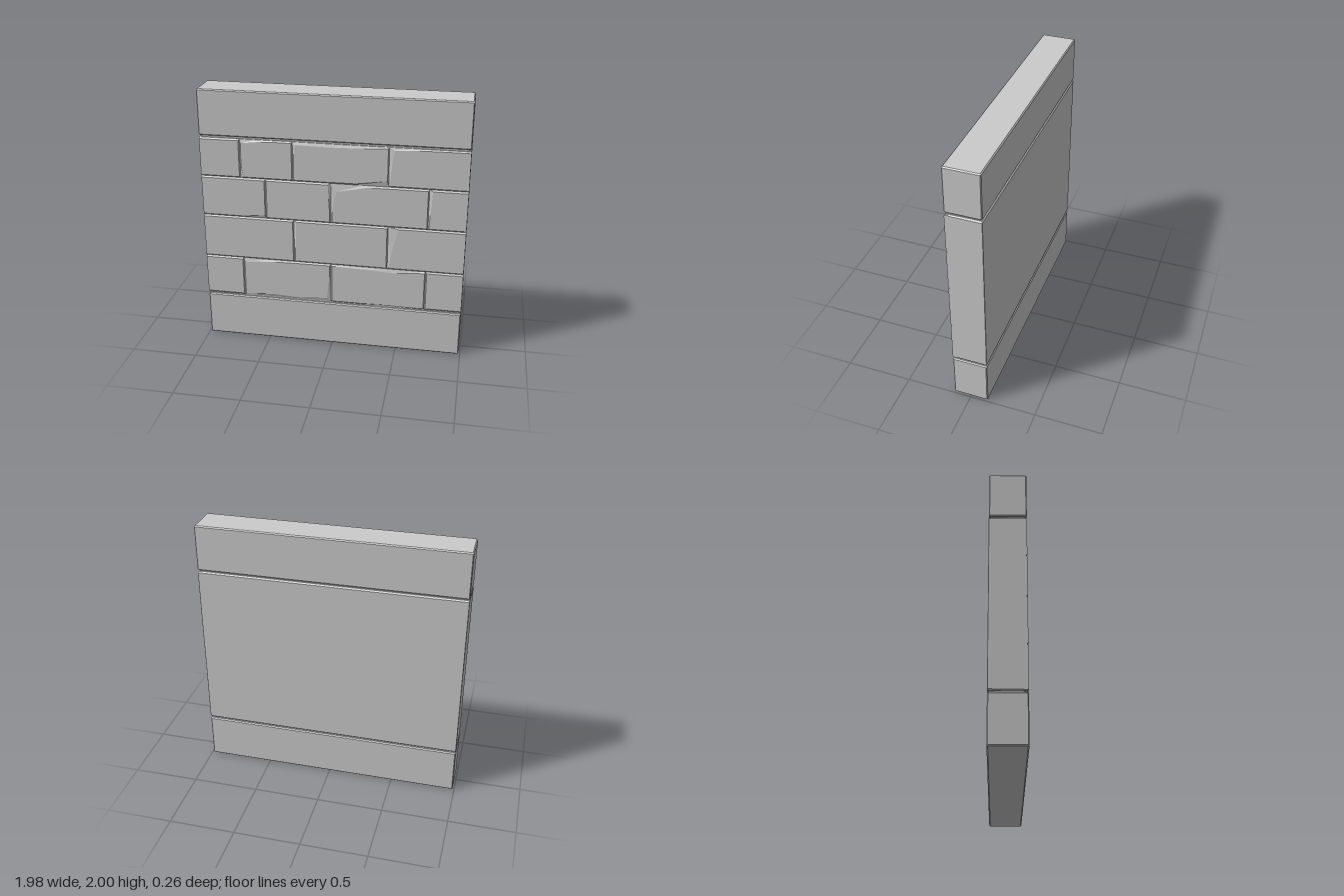
import * as THREE from 'three';

const material = new THREE.MeshStandardMaterial({ color: 0xcccccc, side: THREE.DoubleSide });
const HALF_W = 0.988, HALF_D = 0.13;

// Box with chamfered edges: c on the vertical edges, b around top and bottom.
function chamferBox(name, halfW, y0, y1, z0, z1, c, b) {
  const s = new THREE.Shape([
    [-halfW + c, z0], [halfW - c, z0], [halfW, z0 + c], [halfW, z1 - c],
    [halfW - c, z1], [-halfW + c, z1], [-halfW, z1 - c], [-halfW, z0 + c],
  ].map(([x, z]) => new THREE.Vector2(x, -z)).reverse());
  const g = new THREE.ExtrudeGeometry(s, {
    depth: y1 - y0 - 2 * b, bevelEnabled: true, bevelThickness: b,
    bevelSize: b, bevelOffset: -b, bevelSegments: 1,
  });
  g.rotateX(-Math.PI / 2);
  g.translate(0, y0 + b, 0);
  const mesh = new THREE.Mesh(g, material);
  mesh.name = name;
  return mesh;
}

// Stone with a worn bevel; each edge has four insets (bottom/top run left to right, sides run upward).
function brick(x0, x1, y0, y1, chips = {}) {
  const even = (v) => [v, v, v, v];
  const e = {
    b: even(0.01), t: even(0.012),
    l: even(x0 <= -HALF_W ? 0 : 0.008), r: even(x1 >= HALF_W ? 0 : 0.008), ...chips,
  };
  const mix = THREE.MathUtils.lerp;
  const outer = [], inner = [];
  for (let i = 0; i < 3; i++) { // bottom
    outer.push([mix(x0, x1, i / 3), y0]);
    inner.push([mix(x0 + e.l[0], x1 - e.r[0], i / 3), y0 + e.b[i]]);
  }
  for (let i = 0; i < 3; i++) { // right
    outer.push([x1, mix(y0, y1, i / 3)]);
    inner.push([x1 - e.r[i], mix(y0 + e.b[3], y1 - e.t[3], i / 3)]);
  }
  for (let i = 3; i > 0; i--) { // top
    outer.push([mix(x0, x1, i / 3), y1]);
    inner.push([mix(x0 + e.l[3], x1 - e.r[3], i / 3), y1 - e.t[i]]);
  }
  for (let i = 3; i > 0; i--) { // left
    outer.push([x0, mix(y0, y1, i / 3)]);
    inner.push([x0 + e.l[i], mix(y0 + e.b[0], y1 - e.t[0], i / 3)]);
  }
  const n = outer.length, pos = [], idx = [];
  outer.forEach(([x, y]) => pos.push(x, y, 0.1));
  outer.forEach(([x, y]) => pos.push(x, y, 0.121));
  inner.forEach(([x, y]) => pos.push(x, y, HALF_D));
  pos.push((x0 + x1) / 2, (y0 + y1) / 2, HALF_D);
  for (let i = 0; i < n; i++) {
    const j = (i + 1) % n;
    for (const k of [0, n]) idx.push(k + i, k + j, k + n + j, k + i, k + n + j, k + n + i);
    idx.push(2 * n + i, 2 * n + j, 3 * n);
  }
  let g = new THREE.BufferGeometry();
  g.setAttribute('position', new THREE.Float32BufferAttribute(pos, 3));
  g.setIndex(idx);
  g = g.toNonIndexed();
  g.computeVertexNormals();
  const mesh = new THREE.Mesh(g, material);
  mesh.name = 'brick';
  return mesh;
}

export function createModel() {
  const wall = new THREE.Group();
  wall.name = 'wallSection';

  // Base and cap beams, recessed joint core, and the plain backing panel
  wall.add(chamferBox('baseBeam', HALF_W, 0, 0.35, -HALF_D, HALF_D, 0.006, 0.008));
  wall.add(chamferBox('capBeam', HALF_W, 1.655, 2, -HALF_D, HALF_D, 0.006, 0.008));
  wall.add(chamferBox('jointCore', HALF_W - 0.014, 0.3, 1.7, -HALF_D + 0.014, HALF_D - 0.018, 0.002, 0.002));
  wall.add(chamferBox('backPanel', HALF_W, 0.36, 1.645, -HALF_D, 0.116, 0.002, 0.01));

  // Brick courses: joint positions and the worn edges of individual bricks
  const courses = [
    { y0: 0.365, y1: 0.683, joints: [-0.69, -0.008, 0.71], chips: {
      1: { b: [0.008, 0.024, 0.014, 0.03], t: [0.03, 0.016, 0.012, 0.012], r: [0.03, 0.02, 0.012, 0.008] },
      2: { b: [0.008, 0.008, 0.014, 0.008], t: [0.012, 0.018, 0.03, 0.012] } } },
    { y0: 0.683, y1: 1.026, joints: [-0.29, 0.42], chips: {
      1: { l: [0.008, 0.012, 0.018, 0.02] },
      2: { l: [0.012, 0.025, 0.05, 0.08] } } },
    { y0: 1.026, y1: 1.34, joints: [-0.5, -0.008, 0.71], chips: {
      0: { b: [0.01, 0.01, 0.01, 0.028] },
      1: { r: [0.008, 0.01, 0.016, 0.022] },
      2: { t: [0.06, 0.014, 0.012, 0.012], l: [0.008, 0.012, 0.02, 0.045] },
      3: { l: [0.008, 0.012, 0.02, 0.025] } } },
    { y0: 1.34, y1: 1.64, joints: [-0.685, -0.29, 0.415], chips: {
      1: { t: [0.03, 0.014, 0.01, 0.01], l: [0.02, 0.008, 0.008, 0.01] },
      2: { t: [0.02, 0.024, 0.02, 0.01], b: [0.01, 0.01, 0.012, 0.045], l: [0.008, 0.008, 0.01, 0.018] },
      3: { t: [0.02, 0.012, 0.01, 0.01], l: [0.008, 0.014, 0.024, 0.04] } } },
  ];
  for (const { y0, y1, joints, chips } of courses) {
    const course = new THREE.Group();
    course.name = 'brickCourse';
    const xs = [-HALF_W, ...joints, HALF_W];
    for (let i = 0; i < xs.length - 1; i++) course.add(brick(xs[i], xs[i + 1], y0, y1, chips[i]));
    wall.add(course);
  }
  return wall;
}
